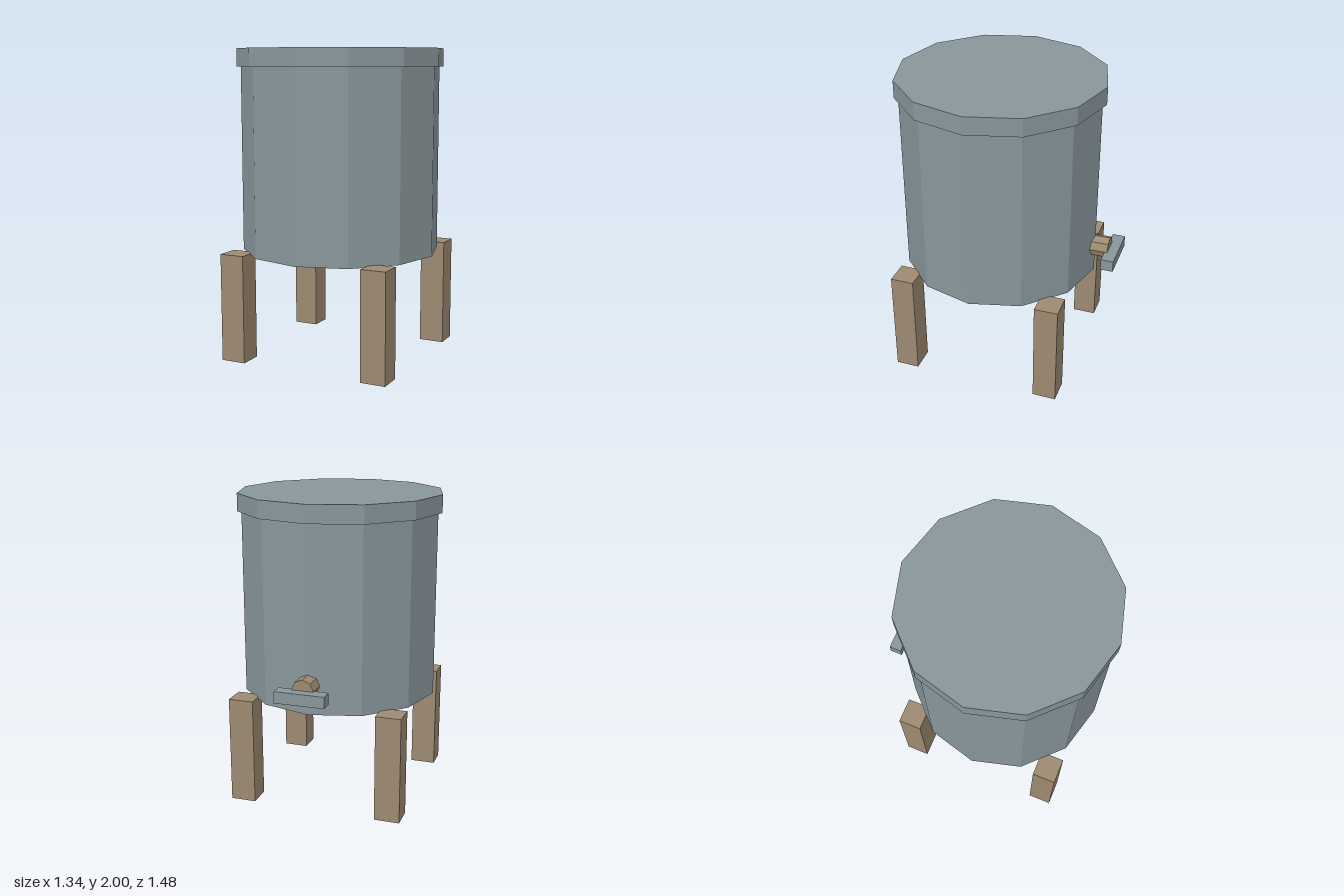
import * as THREE from 'three';

export function createModel() {
  const model = new THREE.Group();
  model.name = 'barrelOnLegs';

  const metal = new THREE.MeshStandardMaterial({ color: 0x88969b, flatShading: true });
  metal.name = 'greyMetal';
  const wood = new THREE.MeshStandardMaterial({ color: 0x9d8a71, flatShading: true });
  wood.name = 'brownWood';

  const add = (name, geometry, material, x, y, z) => {
    const mesh = new THREE.Mesh(geometry, material);
    mesh.name = name;
    mesh.position.set(x, y, z);
    model.add(mesh);
    return mesh;
  };

  const centreZ = 0.067;

  // Twelve-sided tank with an overhanging lid
  add('tank', new THREE.CylinderGeometry(0.644, 0.644, 1.22, 12), metal, 0, 1.3, centreZ);
  add('lid', new THREE.CylinderGeometry(0.67, 0.67, 0.115, 12), metal, 0, 1.9425, centreZ);

  // Four square legs
  const legGeometry = new THREE.BoxGeometry(0.165, 0.7, 0.154);
  for (const [side, sx] of [['left', 1], ['right', -1]]) {
    for (const [end, sz] of [['Front', 1], ['Back', -1]]) {
      add(side + end + 'Leg', legGeometry, wood, sx * 0.4925, 0.35, 0.07 + sz * 0.492);
    }
  }

  // Tap at the back: octagonal spout and flat crossbar handle
  const spout = add('tapSpout', new THREE.CylinderGeometry(0.071, 0.071, 0.13, 8), wood, 0, 0.88, -0.61);
  spout.rotation.x = Math.PI / 2;
  add('tapHandle', new THREE.BoxGeometry(0.324, 0.075, 0.082), metal, 0, 0.8425, -0.698);

  return model;
}
